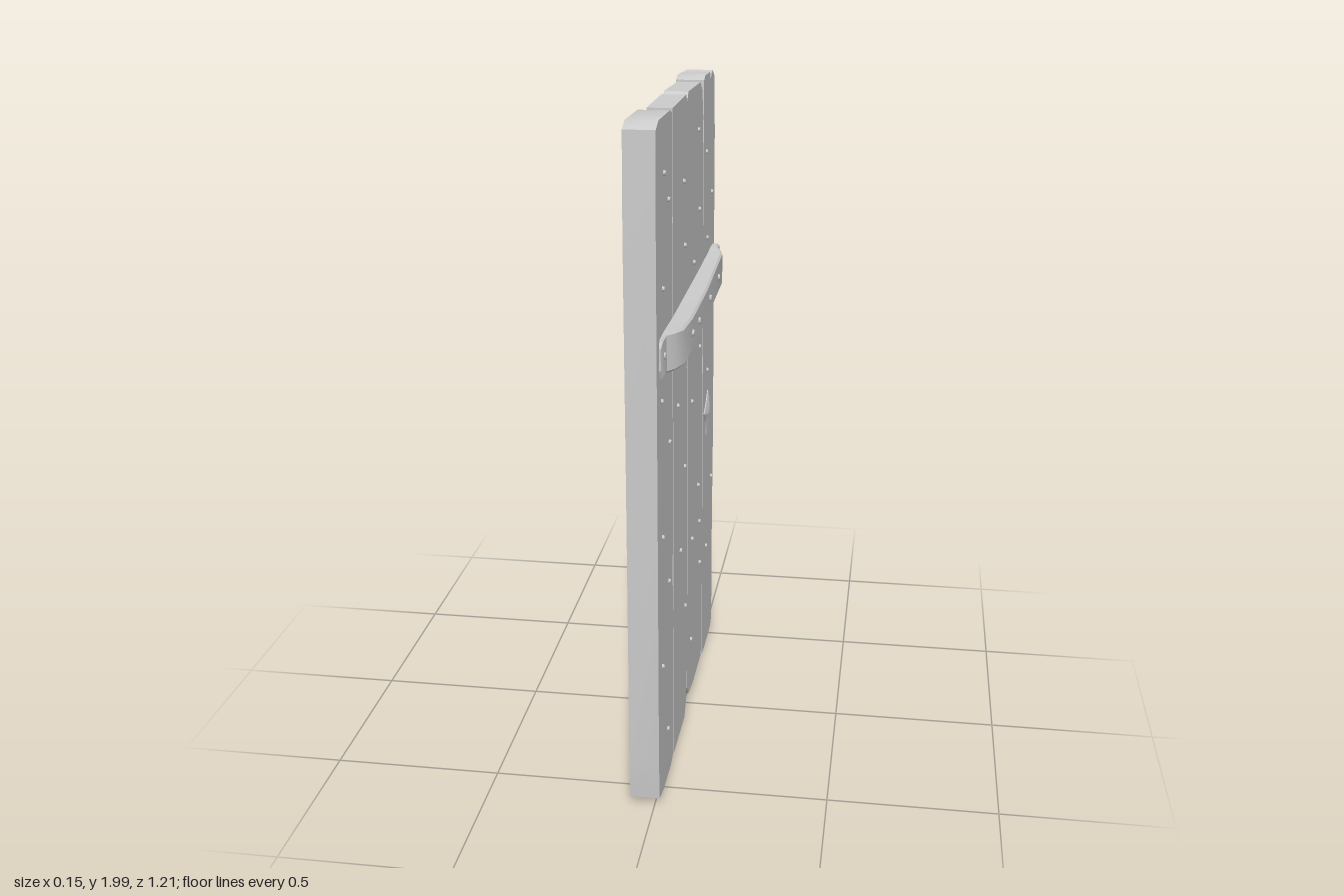
import * as THREE from 'three';
import { toCreasedNormals } from 'three/addons/utils/BufferGeometryUtils.js';

const FACE = 0.015; // x of the planks' outer face
const mat = new THREE.MeshStandardMaterial({ color: 0xcccccc });

// Outlines are drawn as [u, y], where u runs across the door (u = -z).
const planks = [
  { back: -0.072, pts: [[-0.595, 0.025], [-0.52, 0.01], [-0.38, 0.005], [-0.33, 0.02], [-0.324, 0.5], [-0.334, 0.6],
    [-0.335, 0.65], [-0.325, 0.76], [-0.323, 1.6], [-0.326, 1.985], [-0.36, 1.995], [-0.55, 1.998], [-0.594, 1.98],
    [-0.604, 1.7], [-0.602, 1.0], [-0.605, 0.15]] },
  { back: -0.056, pts: [[-0.316, 0.01], [-0.09, 0.004], [-0.055, 0.055], [-0.033, 0.18], [-0.032, 1.02], [-0.043, 1.18],
    [-0.031, 1.29], [-0.03, 1.95], [-0.036, 1.975], [-0.055, 1.994], [-0.314, 1.994]] },
  { back: -0.056, pts: [[-0.03, 0.075], [0.0, 0.04], [0.1, 0.024], [0.295, 0.022], [0.313, 0.06], [0.322, 0.18],
    [0.322, 0.6], [0.316, 0.85], [0.306, 1.0], [0.316, 1.2], [0.312, 1.88], [0.29, 1.962], [0.245, 1.99],
    [-0.01, 1.997], [-0.026, 1.98], [-0.027, 1.0]] },
  { back: -0.072, pts: [[0.328, 0.012], [0.38, 0.004], [0.545, 0.004], [0.585, 0.022], [0.588, 0.45], [0.6, 0.63],
    [0.603, 0.85], [0.598, 1.2], [0.6, 1.78], [0.584, 1.965], [0.54, 1.99], [0.51, 1.985], [0.49, 1.968],
    [0.473, 1.992], [0.36, 1.996], [0.33, 1.985], [0.322, 1.6], [0.326, 0.9]] },
];

const nails = [
  [-0.474, 1.85], [-0.4, 1.765], [-0.503, 1.545], [-0.53, 1.237], [-0.395, 1.07], [-0.525, 0.832], [-0.413, 0.644],
  [-0.538, 0.432], [-0.445, 0.172], [-0.117, 1.759], [-0.095, 1.568], [-0.236, 1.123], [-0.098, 0.88],
  [-0.185, 0.638], [-0.087, 0.403], [0.196, 1.855], [0.22, 1.608], [0.098, 1.47], [0.029, 1.256], [0.236, 1.16],
  [0.056, 1.036], [0.204, 0.697], [0.064, 0.567], [0.233, 0.556], [0.246, 0.4], [0.042, 0.217], [0.382, 1.757],
  [0.517, 1.603], [0.405, 1.476], [0.522, 1.248], [0.421, 1.023], [0.533, 0.599], [0.405, 0.39],
];

// Skins equal-length closed rings of [x, y, z] and caps both ends.
function loft(rings, crease) {
  const n = rings[0].length, index = [];
  for (let r = 0; r < rings.length - 1; r++) {
    for (let i = 0; i < n; i++) {
      const a = r * n + i, b = r * n + (i + 1) % n;
      index.push(a, b, b + n, a, b + n, a + n);
    }
  }
  const last = (rings.length - 1) * n;
  for (let i = 1; i < n - 1; i++) index.push(0, i + 1, i, last, last + i, last + i + 1);
  const g = new THREE.BufferGeometry();
  g.setAttribute('position', new THREE.Float32BufferAttribute(rings.flat(2), 3));
  g.setIndex(index);
  return toCreasedNormals(g, crease);
}

function add(group, name, geometry) {
  const mesh = new THREE.Mesh(geometry, mat);
  mesh.name = name;
  group.add(mesh);
  return mesh;
}

// Low domed head with its axis along +x
function stud(group, name, x, y, u, r, h) {
  const g = new THREE.CylinderGeometry(r * 0.75, r, h, 8);
  g.rotateZ(-Math.PI / 2);
  add(group, name, g).position.set(x + h / 2 - 0.002, y, -u);
}

export function createModel() {
  const door = new THREE.Group();
  door.name = 'plankDoor';

  // Worn planks
  planks.forEach(({ back, pts }, i) => {
    const shape = new THREE.Shape(pts.map(([u, y]) => new THREE.Vector2(u, y)));
    const g = new THREE.ExtrudeGeometry(shape, { depth: FACE - back, bevelEnabled: false });
    g.rotateY(Math.PI / 2).translate(back, 0, 0);
    add(door, 'plank' + (i + 1), toCreasedNormals(g, 0.5));
  });

  // Cross bar: stations of [z, top x, lower y, upper y]
  const bar = [
    [-0.572, 0.034, 1.322, 1.408], [-0.564, 0.038, 1.31, 1.419], [-0.52, 0.038, 1.308, 1.421],
    [-0.49, 0.05, 1.309, 1.42], [-0.445, 0.062, 1.312, 1.417], [-0.2, 0.066, 1.314, 1.414],
    [0, 0.071, 1.314, 1.414], [0.3, 0.07, 1.312, 1.414], [0.435, 0.063, 1.31, 1.418], [0.475, 0.045, 1.308, 1.42],
    [0.5, 0.026, 1.307, 1.42], [0.553, 0.024, 1.307, 1.417], [0.565, 0.02, 1.33, 1.4],
  ];
  const bevel = 0.006;
  add(door, 'crossBar', loft(bar.map(([z, x, lo, hi]) => [
    [FACE - 0.005, lo, z], [x - bevel, lo, z], [x, lo + bevel, z],
    [x, hi - bevel, z], [x - bevel, hi, z], [FACE - 0.005, hi, z],
  ]), 0.45));

  // Bolts through the bar
  [[-0.53, 0.023], [-0.305, 0.069], [-0.18, 0.07], [0.069, 0.07], [0.323, 0.064], [0.54, 0.038]]
    .forEach(([u, x]) => stud(door, 'barBolt', x, 1.367, u, 0.012, 0.008));

  // Nail heads
  nails.forEach(([u, y]) => stud(door, 'nail', FACE, y, u, 0.008, 0.009));

  // Four-pointed boss with concave sides
  const cu = 0.417, cy = 0.872;
  const corners = [[0.023, 0.073], [-0.073, 0.02], [-0.021, -0.071], [0.073, -0.018]];
  const outline = [];
  corners.forEach(([u, v], i) => {
    const [u2, v2] = corners[(i + 1) % 4];
    for (let k = 0; k < 5; k++) {
      const t = k / 5, pull = 1 - 0.6 * t * (1 - t);
      outline.push([(u + (u2 - u) * t) * pull, (v + (v2 - v) * t) * pull]);
    }
  });
  const rings = [[1, 0.012], [1, 0.018], [0.8, 0.022], [0.45, 0.026], [0.01, 0.028]];
  add(door, 'boss', loft(rings.map(([s, x]) =>
    outline.map(([u, v]) => [x, cy + v * s, -(cu + u * s)])), 0.5));

  return door;
}
